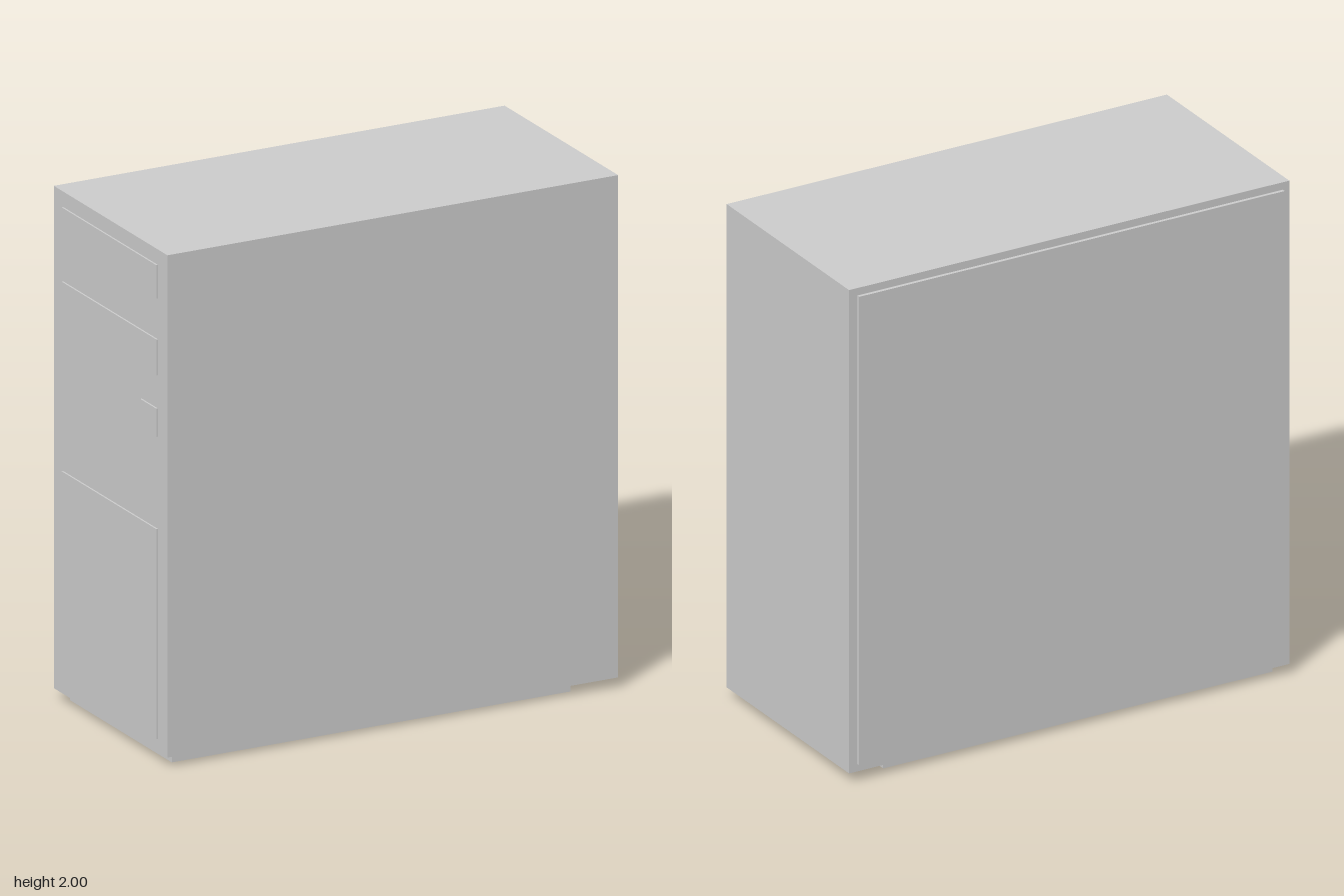
import * as THREE from 'three';

const material = new THREE.MeshStandardMaterial({ color: 0xcccccc, flatShading: true, side: THREE.DoubleSide });

// Case shell limits
const X = [-0.94, 0.947], Y = [0.04, 2], Z = [-0.434, 0.448];
const mid = ([a, b]) => (a + b) / 2;
const size = ([a, b]) => b - a;
const W = size(X), H = size(Y), D = size(Z);
const cx = mid(X), cy = mid(Y), cz = mid(Z);

function mesh(geometry, name) {
  const m = new THREE.Mesh(geometry, material);
  m.name = name;
  return m;
}

function rectangle(target, [u0, u1, v0, v1]) {
  target.moveTo(u0, v0);
  target.lineTo(u1, v0);
  target.lineTo(u1, v1);
  target.lineTo(u0, v1);
  target.closePath();
  return target;
}

// Raised rectangle standing out of a wall: four thin sides and, unless open, a face
function raisedPart({ name, rect: [u0, u1, v0, v1], depth, open }) {
  const part = new THREE.Group();
  part.name = name;
  const w = u1 - u0, h = v1 - v0;
  const rim = new THREE.CylinderGeometry(Math.SQRT1_2, Math.SQRT1_2, 1, 4, 1, true);
  rim.rotateY(Math.PI / 4).rotateX(Math.PI / 2).scale(w, h, depth).translate(0, 0, depth / 2);
  part.add(mesh(rim, name + 'Rim'));
  if (!open) part.add(mesh(new THREE.PlaneGeometry(w, h).translate(0, 0, depth), name + 'Face'));
  part.position.set((u0 + u1) / 2, (v0 + v1) / 2, 0);
  return part;
}

// Thin wall facing local +z, cut out behind each raised part
function wall(name, w, h, distance, rotX, rotY, parts = []) {
  const group = new THREE.Group();
  group.name = name;
  const shape = rectangle(new THREE.Shape(), [-w / 2, w / 2, -h / 2, h / 2]);
  for (const p of parts) {
    shape.holes.push(rectangle(new THREE.Path(), p.rect));
    group.add(raisedPart(p));
  }
  group.add(mesh(new THREE.ShapeGeometry(shape), name + 'Sheet'));
  group.rotation.set(rotX, rotY, 0);
  group.position.set(0, 0, distance).applyEuler(group.rotation);
  return group;
}

export function createModel() {
  const model = new THREE.Group();
  model.name = 'computerCase';
  const shell = new THREE.Group();
  shell.name = 'shell';
  shell.position.set(cx, cy, cz);
  model.add(shell);
  const q = Math.PI / 2;

  // Plain walls
  shell.add(wall('frontWall', W, H, D / 2, 0, 0));
  shell.add(wall('leftWall', D, H, W / 2, 0, q));
  shell.add(wall('topWall', W, D, H / 2, -q, 0));

  // Large access panel on the back
  shell.add(wall('backWall', W, H, D / 2, 0, Math.PI, [
    { name: 'accessPanel', rect: [cx - 0.912, cx + 0.912, 0.07 - cy, 1.97 - cy], depth: 0.014 },
  ]));

  // Drive covers, button and intake panel on the narrow side
  const cover = (name, z0, z1, y0, y1) =>
    ({ name, rect: [z0 - cz, z1 - cz, y0 - cy, y1 - cy], depth: 0.007 });
  shell.add(wall('rightWall', D, H, W / 2, 0, -q, [
    cover('upperDriveCover', -0.36, 0.375, 1.81, 1.94),
    cover('lowerDriveCover', -0.36, 0.375, 1.51, 1.65),
    cover('powerButton', 0.25, 0.375, 1.27, 1.38),
    cover('intakePanel', -0.36, 0.375, 0.09, 0.91),
  ]));

  // Open base frame under the floor
  shell.add(wall('floor', W, D, H / 2, q, 0, [
    { name: 'baseFrame', rect: [-0.897 - cx, 0.772 - cx, -0.386 - cz, 0.402 - cz], depth: 0.04, open: true },
  ]));

  return model;
}
